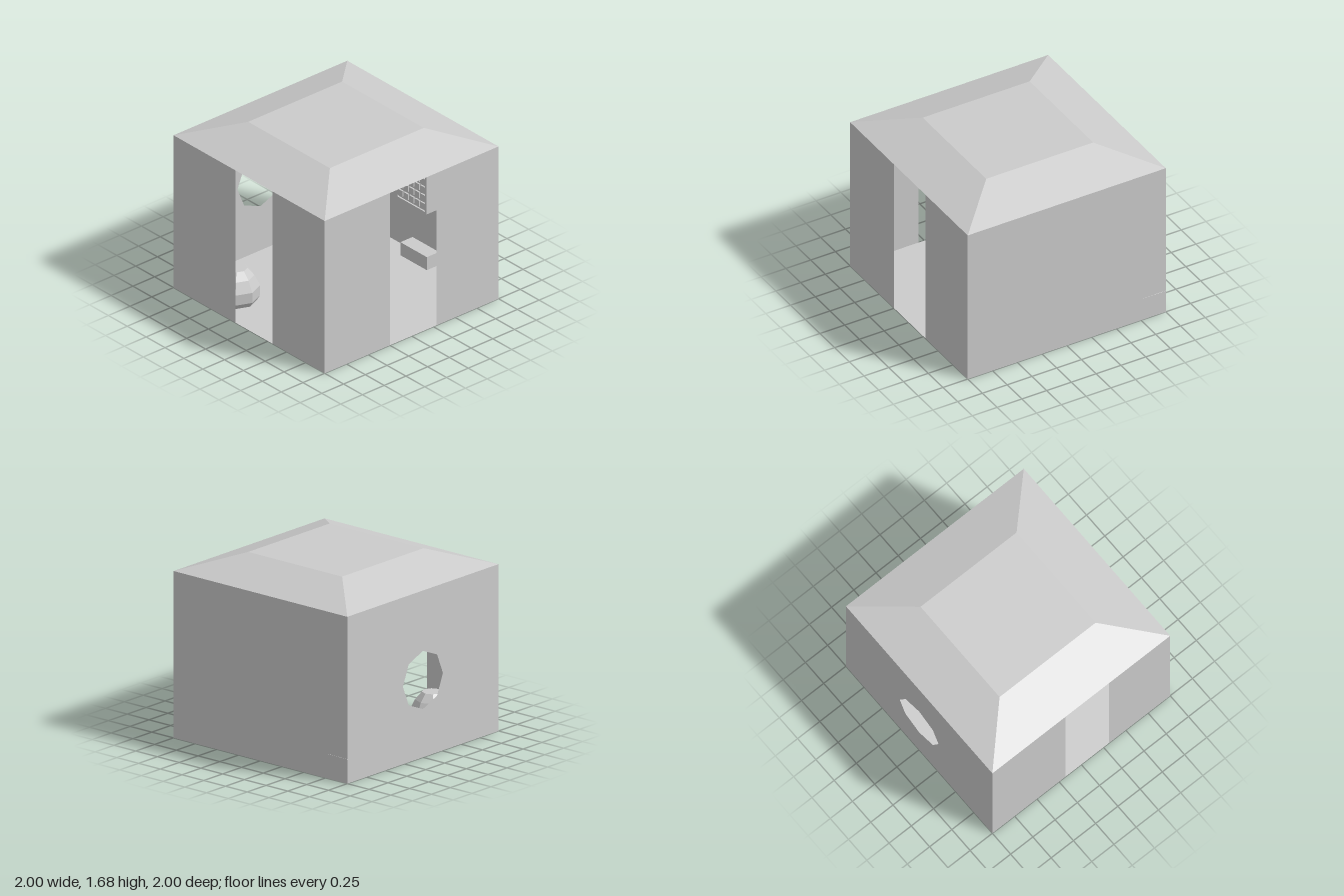
import * as THREE from 'three';

const mat = new THREE.MeshStandardMaterial({ color: 0xcccccc, flatShading: true, side: THREE.DoubleSide });
const H = 1.52; // wall height

function add(parent, name, geo, x = 0, y = 0, z = 0, ry = 0) {
  const m = new THREE.Mesh(geo, mat);
  m.name = name;
  m.position.set(x, y, z);
  m.rotation.y = ry;
  parent.add(m);
  return m;
}

function group(parent, name, x = 0, y = 0, z = 0) {
  const g = new THREE.Group();
  g.name = name;
  g.position.set(x, y, z);
  parent.add(g);
  return g;
}

// lathe with few sides, from [radius, height] pairs
const turned = (pts, sides, turn = 0) =>
  new THREE.LatheGeometry(pts.map(p => new THREE.Vector2(...p)), sides, turn);

function rectShape(x0, y0, x1, y1) {
  return new THREE.Shape([[x0, y0], [x1, y0], [x1, y1], [x0, y1]].map(p => new THREE.Vector2(...p)));
}

// flat rectangular frame with depth d
function frameGeo(w, h, border, d) {
  const s = rectShape(-w / 2, -h / 2, w / 2, h / 2);
  s.holes.push(rectShape(-w / 2 + border, -h / 2 + border, w / 2 - border, h / 2 - border));
  return new THREE.ExtrudeGeometry(s, { depth: d, bevelEnabled: false });
}

function buildShell(root) {
  const shell = group(root, 'building');
  const floor = add(shell, 'floor', new THREE.PlaneGeometry(2, 2));
  floor.rotation.x = -Math.PI / 2;

  // front wall either side of its full-height doorway
  for (const [a, b] of [[-1, -0.18], [0.31, 1]])
    add(shell, 'frontWall', new THREE.ShapeGeometry(rectShape(a, 0, b, H)), 0, 0, 1);
  // left wall (+x): shape x runs along -z
  for (const [a, b] of [[-1, -0.25], [0.285, 1]])
    add(shell, 'leftWall', new THREE.ShapeGeometry(rectShape(a, 0, b, H)), 1, 0, 0, Math.PI / 2);
  add(shell, 'backWall', new THREE.ShapeGeometry(rectShape(-1, 0, 1, H)), 0, 0, -1, Math.PI);

  // right wall (-x) with octagonal window
  const wall = rectShape(-1, 0, 1, H);
  const hole = new THREE.Path();
  hole.setFromPoints(Array.from({ length: 8 }, (_, i) => {
    const a = i * Math.PI / 4;
    return new THREE.Vector2(0.265 * Math.cos(a), 0.705 + 0.265 * Math.sin(a));
  }));
  wall.holes.push(hole);
  add(shell, 'windowWall', new THREE.ShapeGeometry(wall), -1, 0, 0, -Math.PI / 2);

  // hipped roof with a flat top, open underneath
  const q = Math.SQRT2;
  add(shell, 'roof', new THREE.CylinderGeometry(0.54 * q, q, 0.16, 4, 1, true), 0, H + 0.08, 0, Math.PI / 4);
  const top = add(shell, 'roofTop', new THREE.PlaneGeometry(1.08, 1.08), 0, H + 0.16, 0);
  top.rotation.x = -Math.PI / 2;
}

// faceted urn on an octagonal stand with framed sides
function buildUrn(root) {
  const urn = group(root, 'urn', 0.038, 0, 0.002);
  add(urn, 'stand', new THREE.CylinderGeometry(0.162, 0.162, 0.16, 8), 0, 0.08, 0);
  const frame = frameGeo(0.088, 0.12, 0.01, 0.008);
  for (let i = 0; i < 8; i++) {
    const a = (i + 0.5) * Math.PI / 4, r = 0.149;
    add(urn, 'standFrame', frame, r * Math.sin(a), 0.082, r * Math.cos(a), a);
  }
  add(urn, 'neck', new THREE.CylinderGeometry(0.097, 0.097, 0.045, 8), 0, 0.18, 0);
  const k = 1 / Math.cos(Math.PI / 8);
  add(urn, 'bowl', turned([[0, 0.2], [0.08 * k, 0.2], [0.17 * k, 0.39], [0.08 * k, 0.483], [0, 0.483]], 8, Math.PI / 8));
}

// cabinet on the back wall with a grid of square tiles
function buildCabinet(root) {
  const cab = group(root, 'wallCabinet', 0.07, 0.995, -0.82);
  add(cab, 'cabinetBody', new THREE.BoxGeometry(0.4, 0.79, 0.18), 0, 0, -0.09);
  add(cab, 'cabinetFrame', frameGeo(0.4, 0.79, 0.018, 0.015));
  const tile = new THREE.BoxGeometry(0.061, 0.058, 0.03);
  for (let c = -2; c <= 2; c++)
    for (let r = -4; r <= 4; r++)
      add(cab, 'cabinetTile', tile, c * 0.0745, r * 0.0818, 0);
}

// small garden lantern with square roof and knob
function buildLantern(root, x, z) {
  const g = group(root, 'lantern', x, 0, z);
  const q = Math.SQRT2, turn = Math.PI / 4;
  add(g, 'lanternBase', new THREE.BoxGeometry(0.17, 0.025, 0.17), 0, 0.0125, 0);
  add(g, 'lanternStep', new THREE.BoxGeometry(0.14, 0.02, 0.14), 0, 0.035, 0);
  add(g, 'lanternBody', turned([[0.065 * q, 0.045], [0.06 * q, 0.09], [0.035 * q, 0.15], [0.055 * q, 0.2], [0, 0.2]], 4, turn));
  add(g, 'lanternRoof', turned([[0, 0.2], [0.116 * q, 0.215], [0.116 * q, 0.223], [0.05 * q, 0.245], [0, 0.26]], 4, turn));
  add(g, 'lanternKnob', turned([[0.01, 0.245], [0.02, 0.265], [0.01, 0.28], [0.015, 0.295], [0, 0.31]], 6));
}

export function createModel() {
  const root = new THREE.Group();
  root.name = 'pavilion';
  buildShell(root);
  buildUrn(root);
  buildCabinet(root);
  for (const z of [-0.57, -0.886]) buildLantern(root, -0.884, z);

  // low bench below the cabinet
  add(root, 'lowBench', new THREE.BoxGeometry(0.35, 0.13, 0.14), 0.038, 0.065, -0.93);
  // barrel pot in the back corner
  add(root, 'barrelPot', turned([[0, 0], [0.085, 0], [0.12, 0.08], [0.13, 0.18], [0.115, 0.28], [0.08, 0.36], [0, 0.36]], 10), 0.73, 0, -0.76);
  // faceted stool by the front wall
  add(root, 'facetedStool', turned([[0, 0], [0.17, 0], [0.2, 0.05], [0.2, 0.15], [0.15, 0.25], [0.09, 0.32], [0, 0.32]], 8), -0.48, 0, 0.72);
  return root;
}
